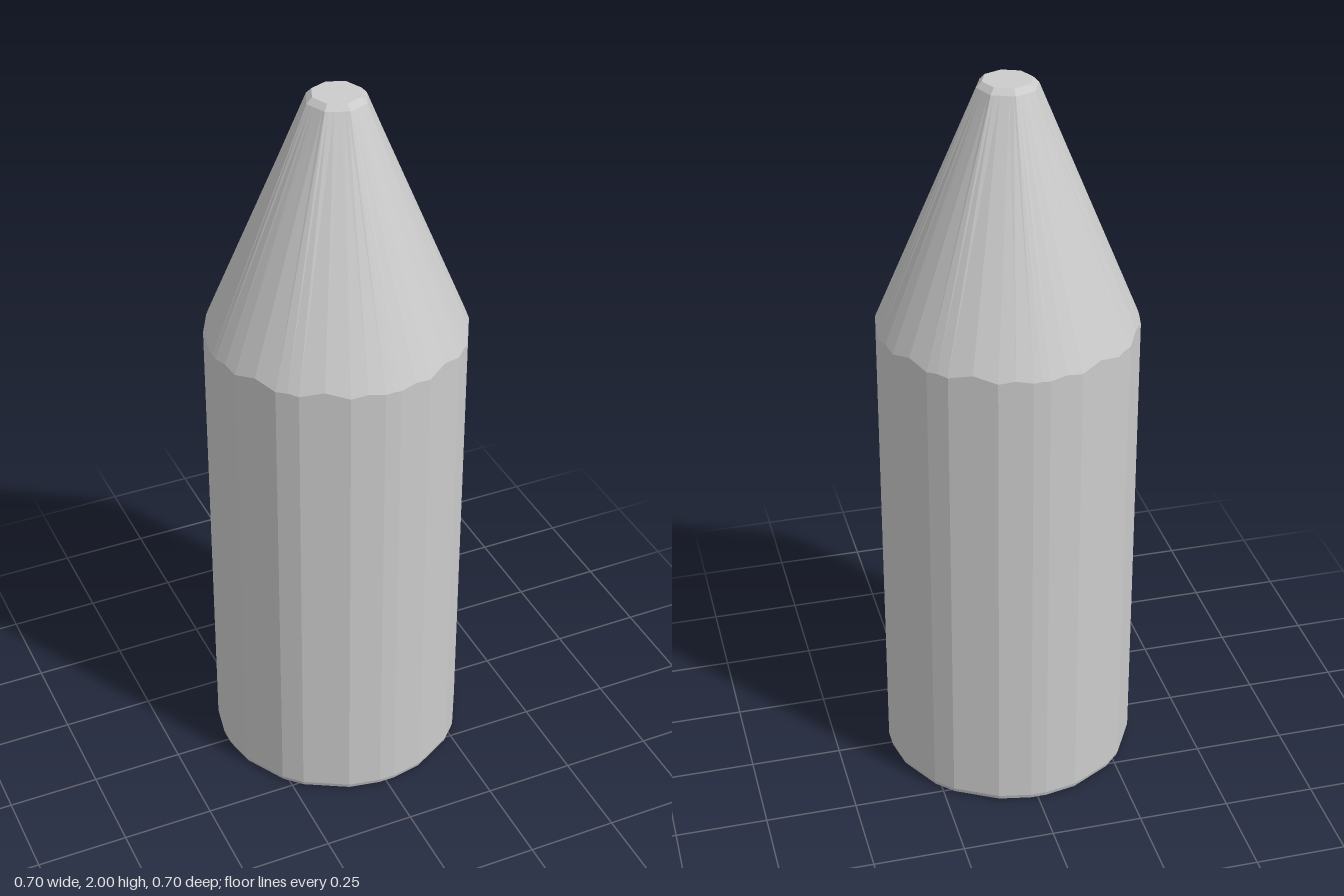
import * as THREE from 'three';

const RAD = Math.PI / 180;
const N = 48;

// Barrel outline: corner angles of one quadrant, repeated four times, plus edge midpoints
const corners = [];
for (let q = 0; q < 4; q++) {
  for (const a of [3.6, 18.3, 39.8, 50.2, 71.7, 86.4]) {
    const t = (a + q * 90) * RAD;
    corners.push(new THREE.Vector2(Math.cos(t), Math.sin(t)).multiplyScalar(0.349));
  }
}
const outline = corners.flatMap((p, i) => [p, p.clone().lerp(corners[(i + 1) % 24], 0.5)]);

// Ring following the barrel outline; y may depend on the radius
const barrelRing = (scale, yOf) =>
  outline.map((p) => new THREE.Vector3(p.x * scale, yOf(p.length()), p.y * scale));

// Ring following an octagon, sampled at the same angles as the barrel
const tipRing = (radius, y) => outline.map((p) => {
  const a = Math.atan2(p.y, p.x) + 2 * Math.PI;
  const k = Math.floor(a / (Math.PI / 4)) * Math.PI / 4;
  const r = radius * Math.cos(Math.PI / 8) / Math.cos(a - k - Math.PI / 8);
  return new THREE.Vector3(Math.cos(a) * r, y, Math.sin(a) * r);
});

// Skin a stack of rings, optionally closing its bottom or top
function loft(name, rings, capBottom, capTop) {
  const pos = [];
  const tri = (...pts) => pts.forEach((p) => pos.push(p.x, p.y, p.z));
  for (let i = 0; i < N; i++) {
    const j = (i + 1) % N;
    for (let r = 0; r < rings.length - 1; r++) {
      const lo = rings[r], up = rings[r + 1];
      tri(lo[i], up[i], lo[j]);
      tri(lo[j], up[i], up[j]);
    }
    const first = rings[0], last = rings[rings.length - 1];
    if (capBottom) tri(new THREE.Vector3(0, first[0].y, 0), first[i], first[j]);
    if (capTop) tri(new THREE.Vector3(0, last[0].y, 0), last[j], last[i]);
  }
  const geo = new THREE.BufferGeometry();
  geo.setAttribute('position', new THREE.Float32BufferAttribute(pos, 3));
  geo.computeVertexNormals();
  const mesh = new THREE.Mesh(geo,
    new THREE.MeshStandardMaterial({ color: 0xcccccc, flatShading: true }));
  mesh.name = name;
  return mesh;
}

export function createModel() {
  const group = new THREE.Group();
  group.name = 'taperedPeg';

  // Scalloped shoulder where the round cone meets the faceted barrel
  const shoulder = barrelRing(1, (r) => 1.33 + (0.349 - r) * 2.5);

  group.add(
    // Barrel with a small bevel around its base
    loft('barrel', [
      barrelRing(0.965, () => 0),
      barrelRing(0.99, () => 0.006),
      barrelRing(1, () => 0.018),
      shoulder,
    ], true, false),
    // Cone narrowing to a bevelled octagonal tip
    loft('cone', [shoulder, tipRing(0.081, 1.985), tipRing(0.066, 2)], false, true),
  );
  return group;
}
